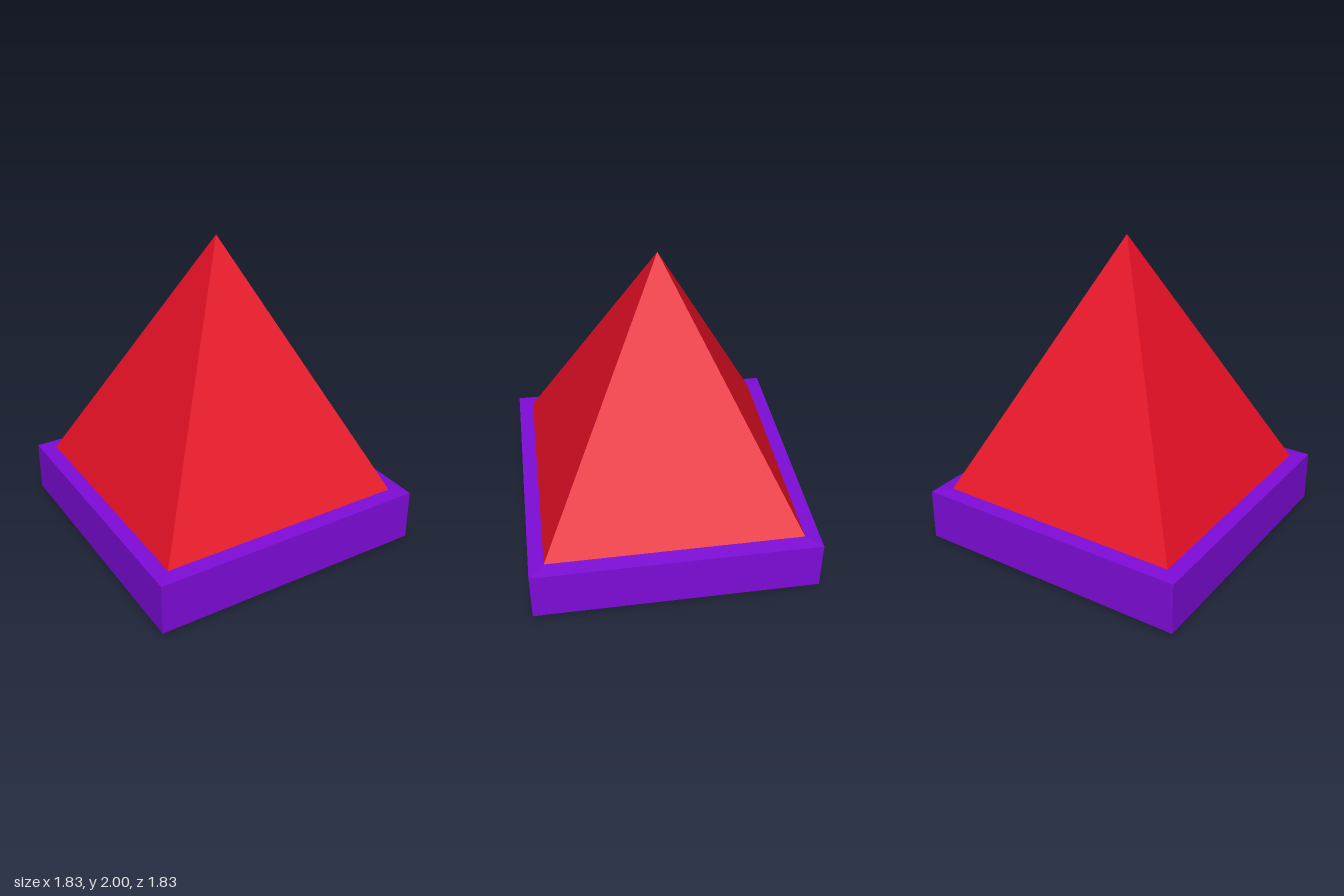
import * as THREE from 'three';

// Square frustum side walls, given half widths at the top and bottom
function squareWalls(topHalf, bottomHalf, y0, y1, capped = false) {
  const r = Math.SQRT2;
  const geo = new THREE.CylinderGeometry(topHalf * r, bottomHalf * r, y1 - y0, 4, 1, !capped);
  geo.rotateY(Math.PI / 4);
  geo.translate(0, (y0 + y1) / 2, 0);
  const flat = geo.toNonIndexed();
  flat.computeVertexNormals();
  return flat;
}

export function createModel() {
  const group = new THREE.Group();
  const red = new THREE.MeshStandardMaterial({ color: 0xe81026 });
  red.name = 'red';
  const purple = new THREE.MeshStandardMaterial({ color: 0x7e0cd8 });
  purple.name = 'purple';

  const add = (name, geometry, material) => {
    const mesh = new THREE.Mesh(geometry, material);
    mesh.name = name;
    group.add(mesh);
  };

  const inner = 0.82, outer = 0.917;

  // Four-sided pyramid
  add('pyramid', squareWalls(0, inner, 0.36, 2), red);

  // Plinth band with a slightly sloping ledge
  add('ledge', squareWalls(inner, outer, 0.353, 0.36), purple);
  add('plinthBand', squareWalls(outer, outer, 0.016, 0.353), purple);

  // Shallow tapered underside
  add('undersideTaper', squareWalls(outer, inner, 0, 0.016), red);
  const base = new THREE.PlaneGeometry(inner * 2, inner * 2);
  base.rotateX(Math.PI / 2);
  add('underside', base, red);

  return group;
}
